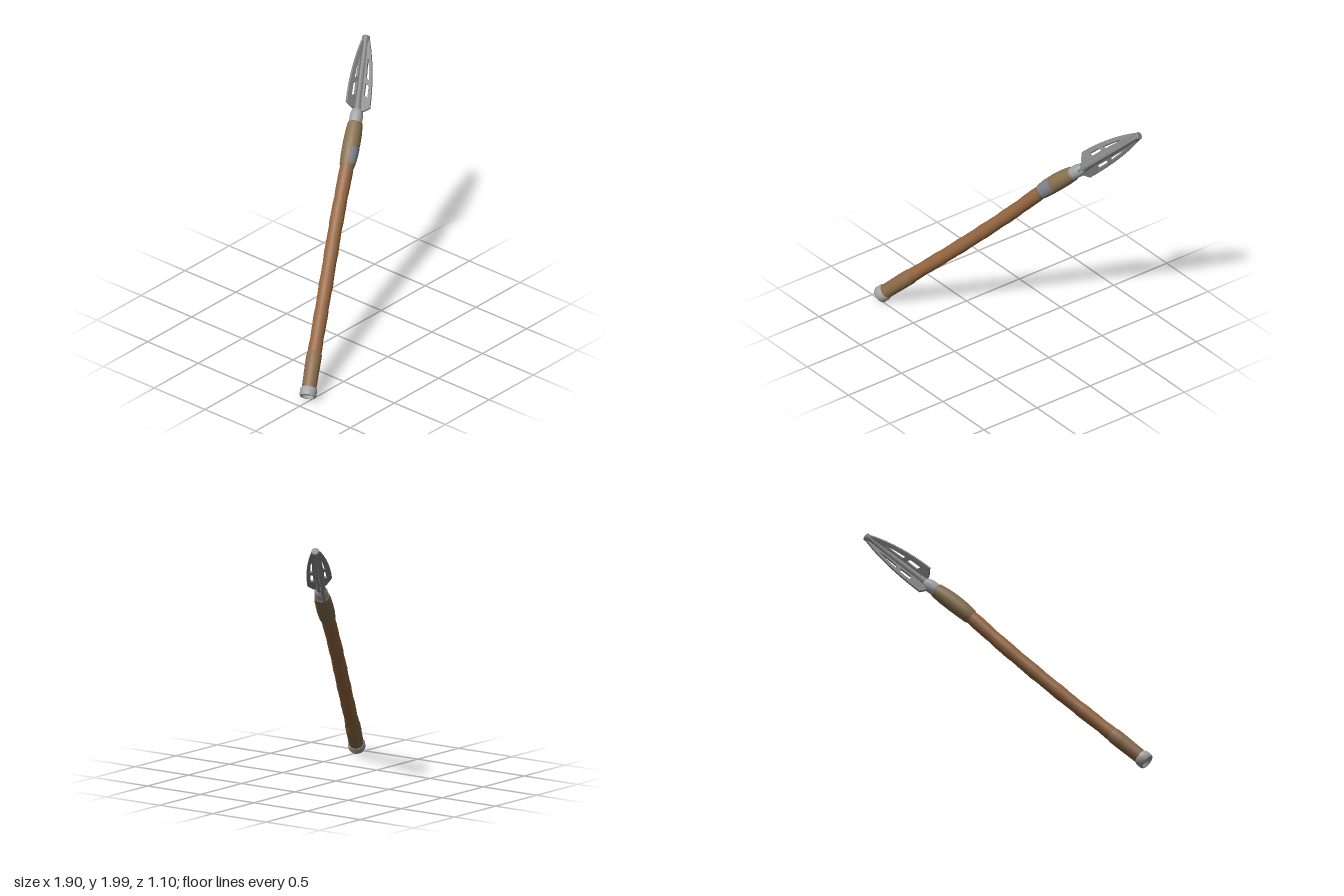
import * as THREE from 'three';
import { toCreasedNormals } from 'three/addons/utils/BufferGeometryUtils.js';

const V = (x, y, z) => new THREE.Vector3(x, y, z);

// centre line of the slightly bowed spear, butt to head
const path = new THREE.CatmullRomCurve3([
  V(-0.91, 0.05, 0.5), V(-0.68, 0.29, 0.37), V(-0.37, 0.61, 0.2), V(0, 1.01, 0),
  V(0.3, 1.35, -0.145), V(0.41, 1.46, -0.2), V(0.5, 1.545, -0.25), V(0.6, 1.642, -0.31),
]);
const LENGTH = path.getLength();

// rotation with y along axis and x as close as possible to side
function frame(axis, side) {
  const y = axis.clone().normalize();
  const x = side.clone().addScaledVector(y, -side.dot(y)).normalize();
  return new THREE.Matrix4().makeBasis(x, y, x.clone().cross(y));
}

const material = (color) => new THREE.MeshStandardMaterial({ color, side: THREE.DoubleSide });

// turned part: profile of [radius, distance along the spear], bent onto the path
function turned(name, color, profile, phi = 0, arc = Math.PI * 2) {
  const points = profile.map(([r, s]) => new THREE.Vector2(r, s));
  const geometry = new THREE.LatheGeometry(points, 28, phi, arc);
  const pos = geometry.attributes.position;
  const turn = frame(V(0.64, 0.68, -0.36), V(0.74, -0.67, 0));
  const v = V(0, 0, 0);
  for (let i = 0; i < pos.count; i++) {
    const centre = path.getPointAt(THREE.MathUtils.clamp(pos.getY(i) / LENGTH, 0, 1));
    v.set(pos.getX(i), 0, pos.getZ(i)).applyMatrix4(turn).add(centre);
    pos.setXYZ(i, v.x, v.y, v.z);
  }
  const mesh = new THREE.Mesh(toCreasedNormals(geometry, 0.6), material(color));
  mesh.name = name;
  return mesh;
}

// flat barbed blade with two long slots; x is distance from the core
function blade(start, reach) {
  const shape = new THREE.Shape();
  shape.moveTo(0.01, start - 0.03);
  shape.lineTo(reach * 0.55, start - 0.025);
  shape.lineTo(reach, start);
  shape.lineTo(reach, start + 0.04);
  shape.bezierCurveTo(reach * 0.98, 0.32, reach * 0.7, 0.5, 0.027, 0.645);
  shape.lineTo(0.01, 0.645);
  shape.closePath();
  const slots = [
    [[0.042, 0.19], [0.074, 0.17], [0.073, 0.27], [0.044, 0.29]],
    [[0.042, 0.33], [0.068, 0.31], [0.057, 0.42], [0.038, 0.5]],
  ];
  for (const slot of slots) {
    shape.holes.push(new THREE.Path(slot.map(([x, y]) => new THREE.Vector2(x, y))));
  }
  const geometry = new THREE.ExtrudeGeometry(shape, {
    depth: 0.012, bevelThickness: 0.003, bevelSize: 0.003, bevelSegments: 1, curveSegments: 14,
  });
  return geometry.translate(0, 0, -0.006);
}

function createHead() {
  const head = new THREE.Group();
  head.name = 'spearHead';
  const metal = material(0x858585);
  const base = V(0.5, 1.545, -0.25);
  const tip = V(0.93, 1.978, -0.522);
  const length = base.distanceTo(tip);
  head.position.copy(base);
  head.quaternion.setFromRotationMatrix(frame(tip.clone().sub(base), V(-0.09, 0.055, -0.03)));

  // central core ending in a blunt round tip
  const profile = [
    [0, 0], [0.036, 0], [0.036, 0.08], [0.03, 0.14], [0.028, 0.4], [0.023, length - 0.06],
    [0.029, length - 0.045], [0.03, length - 0.008], [0.024, length], [0, length],
  ].map(([r, y]) => new THREE.Vector2(r, y));
  const core = new THREE.Mesh(toCreasedNormals(new THREE.LatheGeometry(profile, 20), 0.6), metal);
  core.name = 'headCore';
  head.add(core);

  // three blades around the core
  [[0.11, 0.112], [0.09, 0.098], [0.055, 0.102]].forEach(([start, reach], i) => {
    const mesh = new THREE.Mesh(blade(start, reach), metal);
    mesh.name = 'blade' + (i + 1);
    mesh.rotation.y = (i * Math.PI * 2) / 3;
    head.add(mesh);
  });
  return head;
}

export function createModel() {
  const spear = new THREE.Group();
  spear.name = 'spear';

  // wooden shaft, with extra rings so it follows the bow
  const shaft = [];
  for (let i = 0; i <= 40; i++) {
    const s = 0.3 + (1.6 * i) / 40;
    shaft.push([0.052 + 0.0015 * Math.sin(s * 23) + 0.001 * Math.sin(s * 51), s]);
  }
  spear.add(turned('shaft', 0x956640, shaft));

  // hollow butt cap and wrapped lower end
  spear.add(turned('buttCap', 0xa5a5a3, [
    [0, 0.03], [0.042, 0.025], [0.05, 0.002], [0.058, 0.002], [0.064, 0.015], [0.064, 0.055],
    [0.058, 0.07], [0.05, 0.07],
  ]));
  spear.add(turned('lowerWrap', 0x8a6a48, [
    [0.05, 0.065], [0.055, 0.07], [0.056, 0.16], [0.058, 0.25], [0.058, 0.33], [0.051, 0.36],
  ]));

  // binding below the head, with a grey patch on its front
  spear.add(turned('upperWrap', 0x86704f, [
    [0.049, 1.8], [0.058, 1.83], [0.064, 1.9], [0.066, 2.0], [0.064, 2.08], [0.056, 2.16], [0.04, 2.175],
  ]));
  spear.add(turned('wrapPatch', 0x80848c, [
    [0.06, 1.835], [0.066, 1.9], [0.0675, 1.96],
  ], -0.9, 1.9));

  // metal collar joining shaft and head
  spear.add(turned('collar', 0xa0a2a4, [
    [0.045, 2.14], [0.049, 2.17], [0.05, 2.22], [0.042, 2.26], [0.03, 2.28],
  ]));

  spear.add(createHead());
  return spear;
}
